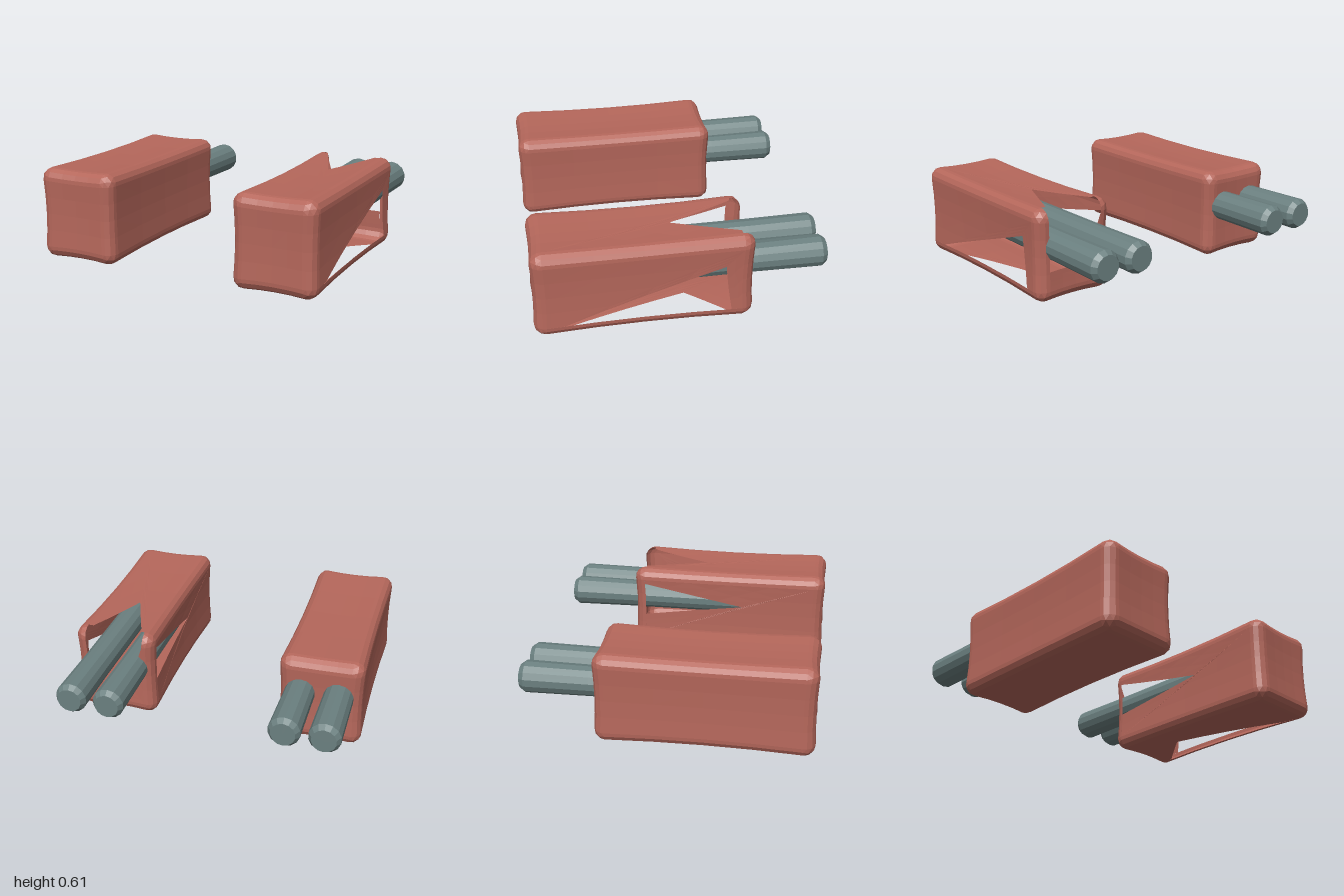
import * as THREE from 'three';

const redMat = new THREE.MeshStandardMaterial({ color: 0xb5675b, flatShading: true, side: THREE.DoubleSide });
const greyMat = new THREE.MeshStandardMaterial({ color: 0x6b8080, flatShading: true, side: THREE.DoubleSide });

const R = 0.085;                          // edge rounding
const H = [0.29, 0.316, 0.716];           // half size of a casing
const I = H.map((h) => h - R);            // half size of its flat panels
const CENTRE = [0.71, 0.316, 0.235];
const SIGNS = [-1, 1];
const PANEL_NAMES = [['rightSidePanel', 'leftSidePanel'], ['bottomPanel', 'topPanel'], ['backPanel', 'frontPanel']];

// Round the edges, then dent every side slightly towards its middle
function shapePoint(p) {
  const q = p.map((v, k) => Math.max(-I[k], Math.min(I[k], v)));
  const d = p.map((v, k) => v - q[k]);
  const len = Math.hypot(...d) || 1;
  const r = q.map((v, k) => v + (d[k] * R) / len);
  const bow = r.map((v, k) => 1 - (v / H[k]) ** 2);
  return r.map((v, k) => v * (1 - (0.014 * (bow[(k + 1) % 3] + bow[(k + 2) % 3])) / H[k]));
}

// Split a triangle into four, repeatedly
function split([a, b, c], level) {
  if (level === 0) return [[a, b, c]];
  const mid = (p, q) => p.map((v, k) => (v + q[k]) / 2);
  const ab = mid(a, b), bc = mid(b, c), ca = mid(c, a);
  return [[a, ab, ca], [ab, b, bc], [ca, bc, c], [ab, bc, ca]].flatMap((t) => split(t, level - 1));
}

// Mesh from triangles, each turned to face away from the casing's centre
function triMesh(tris, name) {
  const pos = [];
  for (const t of tris.flatMap((tri) => split(tri, 2))) {
    const [a, b, c] = t.map((p) => new THREE.Vector3(...shapePoint(p)));
    const n = b.clone().sub(a).cross(c.clone().sub(a));
    const ordered = n.dot(a.clone().add(b).add(c)) < 0 ? [a, c, b] : [a, b, c];
    ordered.forEach((v) => pos.push(v.x, v.y, v.z));
  }
  const geo = new THREE.BufferGeometry();
  geo.setAttribute('position', new THREE.Float32BufferAttribute(pos, 3));
  geo.computeVertexNormals();
  const mesh = new THREE.Mesh(geo, redMat);
  mesh.name = name;
  return mesh;
}

// Panel across one axis; the outline may be cut away
function panel(axis, sign, outline, name) {
  const [u, v] = [0, 1, 2].filter((k) => k !== axis);
  const full = [[-I[u], -I[v]], [I[u], -I[v]], [I[u], I[v]], [-I[u], I[v]]];
  const pts = (outline || full).map((p) => new THREE.Vector2(p[0], p[1]));
  const lift = (p) => {
    const q = [0, 0, 0];
    q[axis] = sign * H[axis];
    q[u] = p.x;
    q[v] = p.y;
    return q;
  };
  const tris = THREE.ShapeUtils.triangulateShape(pts, []).map((f) => f.map((k) => lift(pts[k])));
  return triMesh(tris, name);
}

// Rounded edges and corners around the panels
function bevels(openBackTop) {
  const tris = [];
  for (let a = 0; a < 3; a++) {
    const b = (a + 1) % 3, c = (a + 2) % 3;
    for (const s of SIGNS) for (const t of SIGNS) {
      if (openBackTop && a === 0 && s === 1 && t === -1) continue;
      const at = (end, outB) => {
        const q = [0, 0, 0];
        q[a] = end * I[a];
        q[b] = s * (outB ? H[b] : I[b]);
        q[c] = t * (outB ? I[c] : H[c]);
        return q;
      };
      tris.push([at(-1, true), at(1, true), at(1, false)], [at(-1, true), at(1, false), at(-1, false)]);
    }
  }
  for (const x of SIGNS) for (const y of SIGNS) for (const z of SIGNS) {
    const s = [x, y, z];
    tris.push([0, 1, 2].map((k) => s.map((sg, j) => sg * (j === k ? H[j] : I[j]))));
  }
  return triMesh(tris, 'casingEdges');
}

function casing(side, cuts) {
  const g = new THREE.Group();
  g.name = side + 'Casing';
  PANEL_NAMES.forEach((pair, axis) => pair.forEach((name, k) => g.add(panel(axis, SIGNS[k], cuts[name], name))));
  g.add(bevels('topPanel' in cuts));
  return g;
}

// Round rod with chamfered ends, running along z
function rod(x) {
  const profile = [[0, -0.35], [0.08, -0.35], [0.1, -0.32], [0.1, 0.5], [0.105, 0.92], [0.08, 0.955], [0, 0.955]];
  const geo = new THREE.LatheGeometry(profile.map((p) => new THREE.Vector2(p[0], p[1])), 14);
  const mesh = new THREE.Mesh(geo, greyMat);
  mesh.rotation.x = -Math.PI / 2;
  mesh.position.set(x, 0.375, 0);
  mesh.name = 'rod';
  return mesh;
}

export function createModel() {
  const model = new THREE.Group();
  model.name = 'twinRodCasings';

  // Broken-open casing: torn sides, V-cut top, gaps in bottom and back
  const [x, y, z] = I;
  const cuts = {
    leftSidePanel: [[-y, z], [y, z], [y, -z], [-y, -z], [-y, -0.56], [0.11, -0.52], [-y, 0.515]],
    rightSidePanel: [[-y, z], [y, z], [y, -z], [0.2, -z], [0.05, 0.1], [-0.05, -z], [-y, -z]],
    topPanel: [[-x, z], [x, z], [x, -z], [0.17, -z], [-0.01, -0.2], [-0.18, -z], [-x, -z]],
    bottomPanel: [[-x, z], [x, z], [x, 0.505], [-0.02, -0.305], [x, -0.565], [x, -z], [-x, -z]],
    backPanel: [[-x, -y], [x, -y], [x, -0.1], [-0.1, -0.1], [-x, y]],
  };

  for (const [side, s, c] of [['left', 1, cuts], ['right', -1, {}]]) {
    const body = casing(side, c);
    body.position.set(s * CENTRE[0], CENTRE[1], CENTRE[2]);
    model.add(body);
    const rods = new THREE.Group();
    rods.name = side + 'Rods';
    rods.add(rod(s * 0.577), rod(s * 0.832));
    model.add(rods);
  }
  return model;
}
